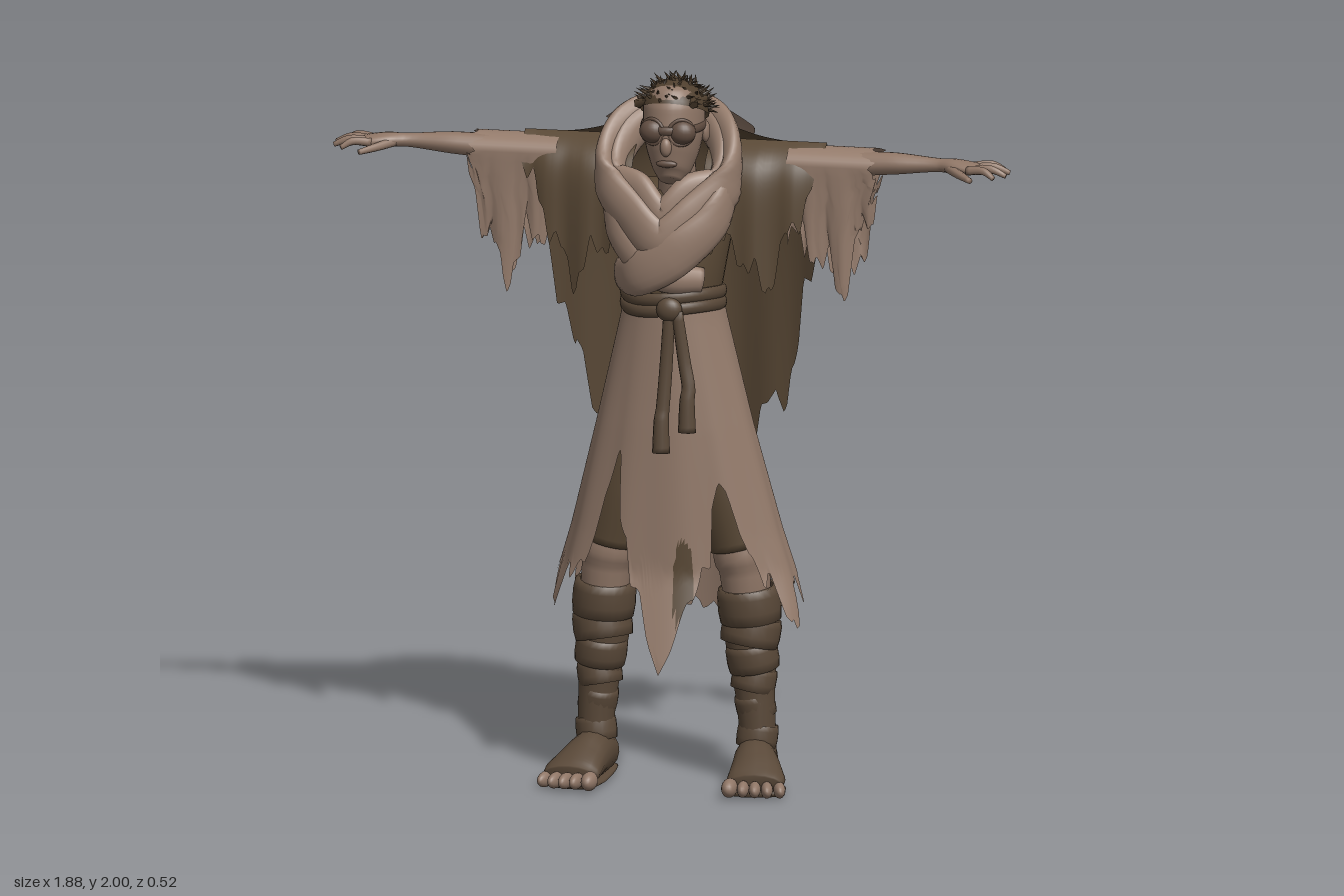
import * as THREE from 'three';

const mat = (name, color) => new THREE.MeshStandardMaterial({ name, color, side: THREE.DoubleSide });
const V = (x, y, z) => new THREE.Vector3(x, y, z);
const X = V(1, 0, 0), Y = V(0, 1, 0), DOWN = V(0, 0, -1);

// Piecewise-linear lookup through [x, value] keys
function lerpKeys(keys, x) {
  if (x <= keys[0][0]) return keys[0][1];
  for (let i = 1; i < keys.length; i++) {
    const [x0, y0] = keys[i - 1], [x1, y1] = keys[i];
    if (x <= x1) return y0 + (y1 - y0) * (x - x0) / (x1 - x0);
  }
  return keys[keys.length - 1][1];
}
// Irregular torn-cloth teeth, 0..1
const saw = (t) => Math.abs((t - Math.floor(t)) * 2 - 1);
const torn = (t) => 0.65 * saw(t) + 0.35 * saw(t * 2.37 + 0.3);

// Grid surface; pick(u, v) chooses a material slot per cell
function grid(nu, nv, fn, closed = false, pick = null) {
  const pos = [], idx = [[], []], cols = closed ? nu : nu + 1;
  for (let j = 0; j <= nv; j++)
    for (let i = 0; i < cols; i++) pos.push(...fn(i / nu, j / nv, j).toArray());
  for (let j = 0; j < nv; j++) for (let i = 0; i < nu; i++) {
    const a = j * cols + i, b = j * cols + (i + 1) % cols;
    const list = idx[pick ? pick((i + 0.5) / nu, (j + 0.5) / nv) : 0];
    list.push(a, b, b + cols, a, b + cols, a + cols);
  }
  const g = new THREE.BufferGeometry();
  g.setAttribute('position', new THREE.Float32BufferAttribute(pos, 3));
  g.setIndex([...idx[0], ...idx[1]]);
  if (pick) {
    g.addGroup(0, idx[0].length, 0);
    g.addGroup(idx[0].length, idx[1].length, 1);
  }
  g.computeVertexNormals();
  return g;
}

// Elliptical tube through [x, y, z, a, b] stations, a is along ref x tangent
function sweep(pts, ref, nv = 24, closed = false, nu = 16) {
  const path = new THREE.CatmullRomCurve3(pts.map((p) => V(p[0], p[1], p[2])), closed);
  const radii = new THREE.CatmullRomCurve3(pts.map((p) => V(p[3], p[4], 0)), closed);
  const rows = closed ? nv : nv + 2;
  return grid(nu, rows, (u, v, j) => {
    const t = closed ? v : Math.min(Math.max((j - 1) / nv, 0), 1);
    const k = !closed && (j === 0 || j === rows) ? 0 : 1;
    const tan = path.getTangent(t), side = ref.clone().cross(tan).normalize(), up = tan.cross(side);
    const r = radii.getPoint(t), a = u * Math.PI * 2;
    return path.getPoint(t).addScaledVector(side, k * r.x * Math.cos(a)).addScaledVector(up, k * r.y * Math.sin(a));
  }, true);
}

// Draped back surface hanging from a ridge at height top
const drapeZ = (x, y, top) => (-0.217 - 0.06 * Math.max(0, 1.5 - y) + 0.1 * Math.pow(x / 0.42, 2))
  * (1 - Math.exp(-Math.max(0, top - y) / 0.07));

export function createModel() {
  const root = new THREE.Group();
  const light = mat('paleCloth', 0x957c6c), dark = mat('darkCloth', 0x594835);
  const skin = mat('skin', 0x8f7666), wrapM = mat('legWrap', 0x594838);
  const hairM = mat('hair', 0x4f3f2e), lens = mat('lens', 0x614d41);
  const add = (name, geo, m, parent = root) => {
    const mesh = new THREE.Mesh(geo, m);
    mesh.name = name;
    parent.add(mesh);
    return mesh;
  };
  const ball = (name, m, x, y, z, sx, sy, sz, parent) => {
    const s = add(name, new THREE.SphereGeometry(1, 20, 14), m, parent);
    s.position.set(x, y, z);
    s.scale.set(sx, sy, sz);
    return s;
  };

  // Torso
  add('torso', sweep([[0, 1.34, 0.03, 0.125, 0.125], [0, 1.45, 0.03, 0.145, 0.125],
    [0, 1.58, 0.02, 0.165, 0.115], [0, 1.66, 0.02, 0.15, 0.09]], DOWN, 16, false, 32), dark);

  // Flared robe skirt with a torn hem, dark stains at the back and front
  const rx = [[0.35, 0.38], [0.5, 0.35], [0.7, 0.29], [1, 0.215], [1.3, 0.145], [1.38, 0.13]];
  const zf = [[0.35, 0.23], [0.6, 0.16], [1, 0.165], [1.38, 0.165]];
  const zb = [[0.38, -0.25], [0.7, -0.19], [1, -0.135], [1.38, -0.1]];
  const hem = [[-3.14, 0.34], [-2.6, 0.42], [-2, 0.5], [-1.57, 0.5], [-1.2, 0.43], [-0.95, 0.5], [-0.75, 0.66], [-0.58, 0.84],
    [-0.42, 0.7], [-0.3, 0.52], [-0.15, 0.44], [0, 0.33], [0.15, 0.43], [0.3, 0.5], [0.45, 0.64], [0.6, 0.76],
    [0.8, 0.66], [0.95, 0.5], [1.2, 0.4], [1.57, 0.48], [2, 0.5], [2.6, 0.44], [3.14, 0.34]];
  const skirtPoint = (u, v) => {
    const a = (u - 0.5) * Math.PI * 2;
    const bottom = lerpKeys(hem, a) + 0.15 * torn(u * 15) * Math.min(1, Math.abs(a) * 2.5 + 0.1);
    const y = 1.38 + (bottom - 1.38) * v, f = lerpKeys(zf, y), b = lerpKeys(zb, y);
    const k = 1 + 0.015 * v * Math.sin(a * 11);
    return V(lerpKeys(rx, y) * Math.sin(a) * k, y, (f + b) / 2 + (f - b) / 2 * Math.cos(a) * k);
  };
  add('skirt', grid(220, 48, skirtPoint, true, (u, v) => {
    const p = skirtPoint(u, v);
    const back = p.y > 0.72 + 0.08 * Math.sin(u * 50) && p.z < -0.02 - (1.3 - p.y) * 0.22;
    const front = p.z > 0 && Math.hypot((p.x - 0.055) / 0.028, (p.y - 0.58) / 0.12) < 1;
    return back || front ? 1 : 0;
  }), [light, dark]);

  // Rope belt with knot and two tasselled ends
  for (const y of [1.34, 1.372]) {
    const ring = [];
    for (let i = 0; i < 12; i++) {
      const a = i * Math.PI / 6;
      ring.push([0.135 * Math.sin(a), y + 0.008 * Math.sin(a * 2), 0.036 + 0.138 * Math.cos(a), 0.011, 0.018]);
    }
    add('belt', sweep(ring, Y, 60, true, 10), wrapM);
  }
  ball('beltKnot', wrapM, 0.02, 1.345, 0.18, 0.036, 0.034, 0.024);
  for (const [x, y] of [[0.002, 0.95], [0.074, 1.01]])
    add('beltTassel', sweep([[0.02 + x * 0.3, 1.34, 0.182, 0.016, 0.012], [0.012 + x * 0.7, 1.2, 0.185, 0.018, 0.012],
      [x + 0.003, y + 0.12, 0.194, 0.019, 0.013], [x, y + 0.09, 0.197, 0.021, 0.016], [x, y, 0.2, 0.025, 0.02]],
    DOWN, 24, false, 10), wrapM);

  // Back cape
  const capeHem = [[0, 0.73], [0.3, 0.8], [0.6, 0.92], [0.72, 1.04], [0.85, 1.3], [1, 1.56]];
  add('capeBack', grid(160, 40, (u, v) => {
    const s = u * 2 - 1, x = s * 0.42, top = 1.785 + 0.085 * Math.exp(-Math.pow(x / 0.18, 2));
    const y = top + (lerpKeys(capeHem, Math.abs(s + 0.04)) + 0.18 * torn(u * 8) - top) * Math.pow(v, 1.6);
    return V(x, y, drapeZ(x, y, top) + 0.006 * v * Math.sin(x * 38));
  }), dark);

  // Cowl hanging over the back
  const cowlHem = [[0, 1.57], [0.5, 1.68], [1, 1.77]];
  add('cowl', grid(60, 24, (u, v) => {
    const s = u * 2 - 1, x = s * 0.2, top = 1.905 - 0.075 * s * s;
    const y = top + (lerpKeys(cowlHem, Math.abs(s)) + 0.035 * torn(u * 7) - top) * Math.pow(v, 1.4);
    return V(x, y, drapeZ(x, y, top) - 0.016 - 0.004 * Math.sin(y * 60));
  }), light);

  // Wrapped scarf: two collar loops and crossing chest bands
  const loop = (k, back, front, dz) => [[0, back, -0.07 * k], [0.13 * k, back - 0.03, 0.01], [0.172 * k, back - 0.15, 0.11],
    [0.09 * k, front + 0.07, 0.17 + dz], [0, front, 0.2 + dz], [-0.09 * k, front + 0.07, 0.17 + dz],
    [-0.172 * k, back - 0.15, 0.11], [-0.13 * k, back - 0.03, 0.01]];
  add('scarfOuter', sweep(loop(1, 1.85, 1.54, 0).map((p) => [...p, 0.03, 0.06]), Y, 72, true), light);
  add('scarfInner', sweep(loop(0.82, 1.84, 1.6, -0.02).map((p) => [...p, 0.028, 0.05]), Y, 72, true), light);
  add('scarfBandOver', sweep([[0.175, 1.74, 0.07, 0.025, 0.05], [0.14, 1.6, 0.16, 0.03, 0.055], [0.03, 1.5, 0.207, 0.028, 0.065],
    [-0.07, 1.44, 0.185, 0.028, 0.06], [-0.135, 1.42, 0.09, 0.02, 0.045]], Y, 30), light);
  add('scarfBandUnder', sweep([[-0.17, 1.7, 0.07, 0.025, 0.045], [-0.12, 1.55, 0.15, 0.03, 0.05], [0, 1.44, 0.18, 0.03, 0.045],
    [0.1, 1.42, 0.13, 0.025, 0.035]], Y, 30), light);

  // Head
  const head = new THREE.Group();
  head.name = 'head';
  head.position.x = 0.02;
  root.add(head);
  add('neck', sweep([[0, 1.62, 0.06, 0.055, 0.055], [0, 1.78, 0.1, 0.052, 0.055]], DOWN, 8), skin, head);
  add('face', sweep([[0, 1.7, 0.165, 0.03, 0.035], [0, 1.725, 0.152, 0.05, 0.066], [0, 1.775, 0.134, 0.07, 0.09],
    [0, 1.84, 0.122, 0.083, 0.102], [0, 1.9, 0.115, 0.084, 0.1], [0, 1.94, 0.112, 0.068, 0.084],
    [0, 1.96, 0.108, 0.03, 0.04]], DOWN, 32, false, 28), skin, head);
  ball('nose', skin, 0, 1.805, 0.222, 0.016, 0.026, 0.016, head);
  ball('mouth', lens, 0, 1.757, 0.213, 0.03, 0.01, 0.009, head);
  const strap = add('goggleStrap', new THREE.TorusGeometry(1, 0.06, 8, 40), lens, head);
  strap.rotation.x = Math.PI / 2;
  strap.position.set(0, 1.85, 0.12);
  strap.scale.set(0.084, 0.103, 0.2);
  for (const s of [-1, 1]) {
    ball('goggleLens', lens, s * 0.04, 1.845, 0.2, 0.038, 0.034, 0.032, head);
    const rim = add('goggleRim', new THREE.TorusGeometry(0.035, 0.005, 8, 24), lens, head);
    rim.position.set(s * 0.04, 1.845, 0.208);
    rim.rotation.y = s * 0.35;
    ball('ear', skin, s * 0.085, 1.83, 0.105, 0.012, 0.03, 0.02, head);
  }

  // Hair: cap and tousled locks
  const cap = add('hairCap', new THREE.SphereGeometry(1, 28, 14, 0, Math.PI * 2, 0, Math.PI * 0.5), hairM, head);
  cap.position.set(0, 1.88, 0.108);
  cap.scale.set(0.093, 0.09, 0.11);
  cap.rotation.x = -0.42;
  let seed = 7;
  const rnd = () => (seed = (seed * 16807) % 2147483647) / 2147483647;
  for (let i = 0; i < 110; i++) {
    const a = i * 2.4, r = Math.sqrt((i + 0.5) / 110) * 1.4;
    const d = V(Math.sin(r) * Math.sin(a), Math.cos(r), Math.sin(r) * Math.cos(a)).applyAxisAngle(X, -0.42);
    const lock = add('hairLock', new THREE.ConeGeometry(0.014, 0.075, 5), hairM, head);
    lock.position.set(d.x * 0.09, 1.88 + d.y * 0.086, 0.108 + d.z * 0.105);
    const lean = V(rnd() - 0.5, (rnd() - 0.5) * 0.5, rnd() - 0.4).multiplyScalar(2.6).add(d).normalize();
    lean.addScaledVector(d, 0.15 - lean.dot(d) * 0.4).normalize();
    lock.quaternion.setFromUnitVectors(Y, lean);
  }

  // Limbs and side cloth, built for the left side and mirrored
  for (const s of [1, -1]) {
    const side = new THREE.Group();
    side.name = s > 0 ? 'leftSide' : 'rightSide';
    side.scale.x = s;
    root.add(side);
    const ph = s > 0 ? 0.2 : 0.55;

    // Front flap of the cape
    const flapHem = [[0.1, 1.5], [0.2, 1.43], [0.27, 1.33], [0.32, 1.46], [0.37, 1.56], [0.42, 1.68]];
    add('capeFront', grid(70, 20, (u, v) => {
      const x = 0.1 + u * 0.32;
      const y = 1.79 + (lerpKeys(flapHem, x) + 0.12 * torn(u * 4 + ph) - 1.79) * Math.pow(v, 1.5);
      return V(x, y, (0.125 - 0.05 * u) * (1 - Math.exp(-(1.79 - y) / 0.04)) + 0.006 * v * Math.sin(x * 60));
    }), dark, side);

    // Torn hanging sleeve
    const sleeveHem = [[0.32, 1.46], [0.39, 1.43], [0.47, 1.3], [0.52, 1.44], [0.57, 1.6]];
    add('sleeve', grid(70, 40, (u, v) => {
      const w = v * 2 - 1, th = Math.max(-1, Math.min(1, w / 0.4)) * Math.PI / 2;
      const x = 0.32 + u * (0.225 + 0.03 * torn(v * 5));
      const low = lerpKeys(sleeveHem, x) + 0.17 * torn(u * 3 + ph + (w > 0 ? 0.4 : 0));
      const drop = Math.max(0, (Math.abs(w) - 0.4) / 0.6);
      return V(x, 1.735 + 0.045 * Math.cos(th) - (1.735 - low) * drop,
        0.066 * Math.sin(th) * (1 - 0.25 * drop) + 0.006 * Math.sin(x * 70) * drop);
    }), light, side);

    // Arm, palm and fingers
    add('arm', sweep([[0.15, 1.72, 0, 0.05, 0.05], [0.35, 1.74, 0, 0.043, 0.04], [0.52, 1.742, 0.02, 0.038, 0.034],
      [0.62, 1.748, 0.03, 0.035, 0.03], [0.74, 1.752, 0.042, 0.021, 0.019], [0.79, 1.753, 0.053, 0.034, 0.02],
      [0.84, 1.75, 0.058, 0.042, 0.016], [0.86, 1.748, 0.06, 0.034, 0.012]], Y, 40), skin, side);
    for (const [z0, x1, z1] of [[0.026, 0.915, 0.0], [0.048, 0.937, 0.036], [0.07, 0.935, 0.08], [0.09, 0.908, 0.118]])
      add('finger', sweep([[0.83, 1.75, z0, 0.012, 0.012], [(0.83 + x1) / 2 + 0.01, 1.754, (z0 + z1) / 2, 0.011, 0.011],
        [x1, 1.738, z1, 0.007, 0.007]], Y, 10, false, 8), skin, side);
    add('thumb', sweep([[0.77, 1.75, 0.06, 0.015, 0.014], [0.81, 1.742, 0.105, 0.013, 0.012], [0.85, 1.735, 0.148, 0.008, 0.008]],
      Y, 10, false, 8), skin, side);

    // Trousers, knee and wrapped shin
    add('trouserLeg', sweep([[0.09, 1.05, 0.02, 0.085, 0.09], [0.14, 0.82, 0.02, 0.088, 0.085],
      [0.175, 0.66, 0.01, 0.08, 0.078]], DOWN, 16), dark, side);
    add('knee', sweep([[0.17, 0.7, 0.01, 0.07, 0.07], [0.19, 0.6, 0.005, 0.07, 0.07], [0.2, 0.5, 0, 0.065, 0.065]], DOWN, 12), skin, side);
    add('shin', sweep([[0.2, 0.53, -0.008, 0.08, 0.074], [0.207, 0.4, -0.012, 0.074, 0.07], [0.218, 0.25, -0.006, 0.055, 0.053],
      [0.225, 0.14, -0.008, 0.05, 0.053], [0.225, 0.06, -0.012, 0.052, 0.06]], DOWN, 24), wrapM, side);
    for (const [y, r, h, tilt] of [[0.495, 0.086, 0.045, 0.08], [0.42, 0.081, 0.036, -0.16], [0.35, 0.071, 0.035, 0.14],
      [0.285, 0.061, 0.03, -0.18], [0.215, 0.054, 0.03, 0.2], [0.13, 0.056, 0.03, -0.12]]) {
      const band = add('legBand', new THREE.LatheGeometry([[0.8, -h], [0.97, -h], [1.01, -h * 0.3], [1, h * 0.6], [0.95, h * 1.1], [0.8, h * 1.1]]
        .map(([k, t]) => new THREE.Vector2(k * r, t)), 24), wrapM, side);
      band.position.set(0.2 + (0.53 - y) * 0.06, y, -0.008);
      band.rotation.set(tilt * 0.8, 0, tilt);
    }

    // Bandaged foot with bare toes
    add('foot', sweep([[0.215, 0.045, -0.088, 0.03, 0.035], [0.22, 0.058, -0.05, 0.052, 0.056], [0.225, 0.068, 0.02, 0.057, 0.066],
      [0.242, 0.055, 0.09, 0.07, 0.054], [0.255, 0.04, 0.15, 0.08, 0.038], [0.258, 0.032, 0.18, 0.074, 0.028]], Y, 24), wrapM, side);
    add('sole', sweep([[0.215, 0.01, -0.09, 0.035, 0.01], [0.225, 0.01, 0, 0.055, 0.01], [0.25, 0.01, 0.12, 0.08, 0.01],
      [0.258, 0.01, 0.19, 0.076, 0.01]], Y, 16), wrapM, side);
    for (let i = 0; i < 5; i++) {
      const toe = ball('toe', skin, 0.195 + i * 0.031 + (i ? 0.006 : 0), 0.029 - i * 0.002, 0.212 - i * i * 0.0025,
        i ? 0.0165 : 0.022, i ? 0.022 : 0.026, 0.04, side);
      toe.rotation.y = 0.05 + i * 0.06;
    }
  }
  return root;
}
